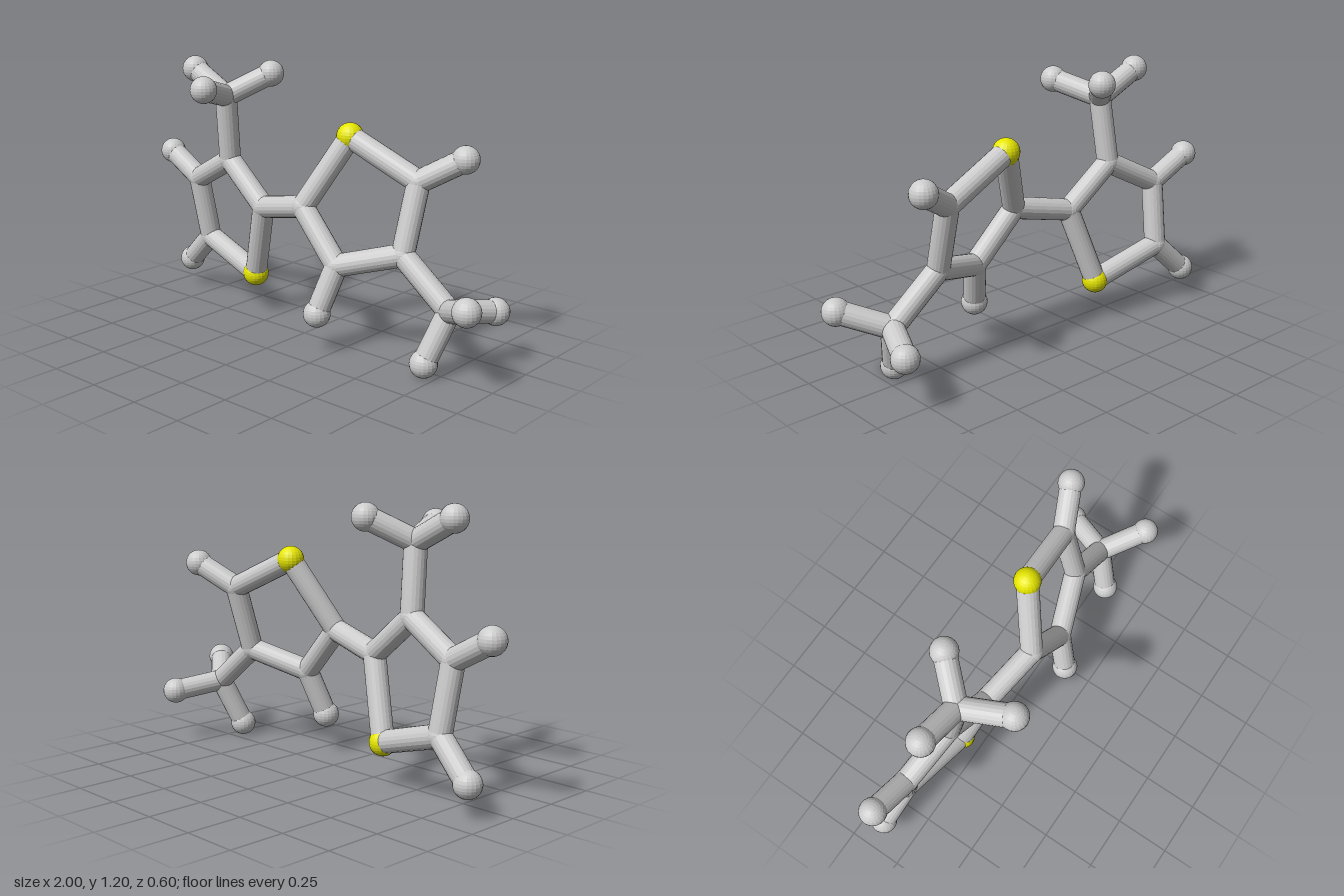
import * as THREE from 'three';

// Atom centres: [x, y, z]
const carbons = {
  // left ring, from the link round, then its methyl carbon
  leftLink: [-0.25, 0.55, 0], leftBranch: [-0.48, 0.735, -0.02],
  leftOuter: [-0.74, 0.6, -0.065], leftLower: [-0.72, 0.3, -0.115],
  leftMethyl: [-0.46, 1.04, 0.02],
  // right ring, then its methyl carbon
  rightLink: [0.035, 0.61, 0.05], rightLower: [0.245, 0.39, 0.07],
  rightBranch: [0.52, 0.47, -0.03], rightUpper: [0.53, 0.77, -0.115],
  rightMethyl: [0.76, 0.28, -0.03],
};
const sulphurs = {
  leftSulphur: [-0.365, 0.195, -0.065],
  rightSulphur: [0.19, 0.922, -0.08],
};
const ringBonds = [
  ['leftLink', 'leftBranch'], ['leftBranch', 'leftOuter'], ['leftOuter', 'leftLower'],
  ['leftLower', 'leftSulphur'], ['leftSulphur', 'leftLink'], ['leftBranch', 'leftMethyl'],
  ['leftLink', 'rightLink'],
  ['rightLink', 'rightLower'], ['rightLower', 'rightBranch'], ['rightBranch', 'rightUpper'],
  ['rightUpper', 'rightSulphur'], ['rightSulphur', 'rightLink'], ['rightBranch', 'rightMethyl'],
];
// Hydrogens, listed under the carbon each is bonded to
const hydrogens = {
  leftOuter: [[-0.94, 0.705, -0.08]],
  leftLower: [[-0.885, 0.145, -0.14]],
  leftMethyl: [[-0.67, 1.145, 0.01], [-0.32, 1.14, -0.13], [-0.375, 1.1, 0.24]],
  rightLower: [[0.195, 0.18, 0.14]],
  rightUpper: [[0.705, 0.875, -0.195]],
  rightMethyl: [[0.935, 0.355, 0.11], [0.85, 0.245, -0.24], [0.7, 0.062, 0.055]],
};

const BOND_RADIUS = 0.05, JOINT_RADIUS = 0.052, END_RADIUS = 0.06;

export function createModel() {
  const model = new THREE.Group();
  model.name = 'molecule';
  const grey = new THREE.MeshStandardMaterial({ color: 0xcccccc, flatShading: true });
  const yellow = new THREE.MeshStandardMaterial({ color: 0xe6e600, flatShading: true });
  const up = new THREE.Vector3(0, 1, 0);

  const addAtom = (name, p, radius, material) => {
    const atom = new THREE.Mesh(new THREE.SphereGeometry(radius, 20, 14), material);
    atom.name = name;
    atom.position.set(...p);
    model.add(atom);
  };

  // Cylinder running from one atom centre to another
  const addBond = (name, p, q) => {
    const a = new THREE.Vector3(...p), b = new THREE.Vector3(...q);
    const dir = b.clone().sub(a);
    const bond = new THREE.Mesh(
      new THREE.CylinderGeometry(BOND_RADIUS, BOND_RADIUS, dir.length(), 20), grey);
    bond.name = name;
    bond.position.copy(a).add(b).multiplyScalar(0.5);
    bond.quaternion.setFromUnitVectors(up, dir.normalize());
    model.add(bond);
  };

  // Ring and methyl joints
  for (const [name, p] of Object.entries(carbons)) addAtom(name + 'Carbon', p, JOINT_RADIUS, grey);
  for (const [name, p] of Object.entries(sulphurs)) addAtom(name, p, END_RADIUS, yellow);

  // Framework bonds
  const heavy = { ...carbons, ...sulphurs };
  for (const [a, b] of ringBonds) addBond(`${a}To${b[0].toUpperCase()}${b.slice(1)}Bond`, heavy[a], heavy[b]);

  // Hydrogens and their bonds
  for (const [parent, list] of Object.entries(hydrogens)) {
    list.forEach((p, i) => {
      addAtom(`${parent}Hydrogen${i + 1}`, p, END_RADIUS, grey);
      addBond(`${parent}HydrogenBond${i + 1}`, carbons[parent], p);
    });
  }
  return model;
}
